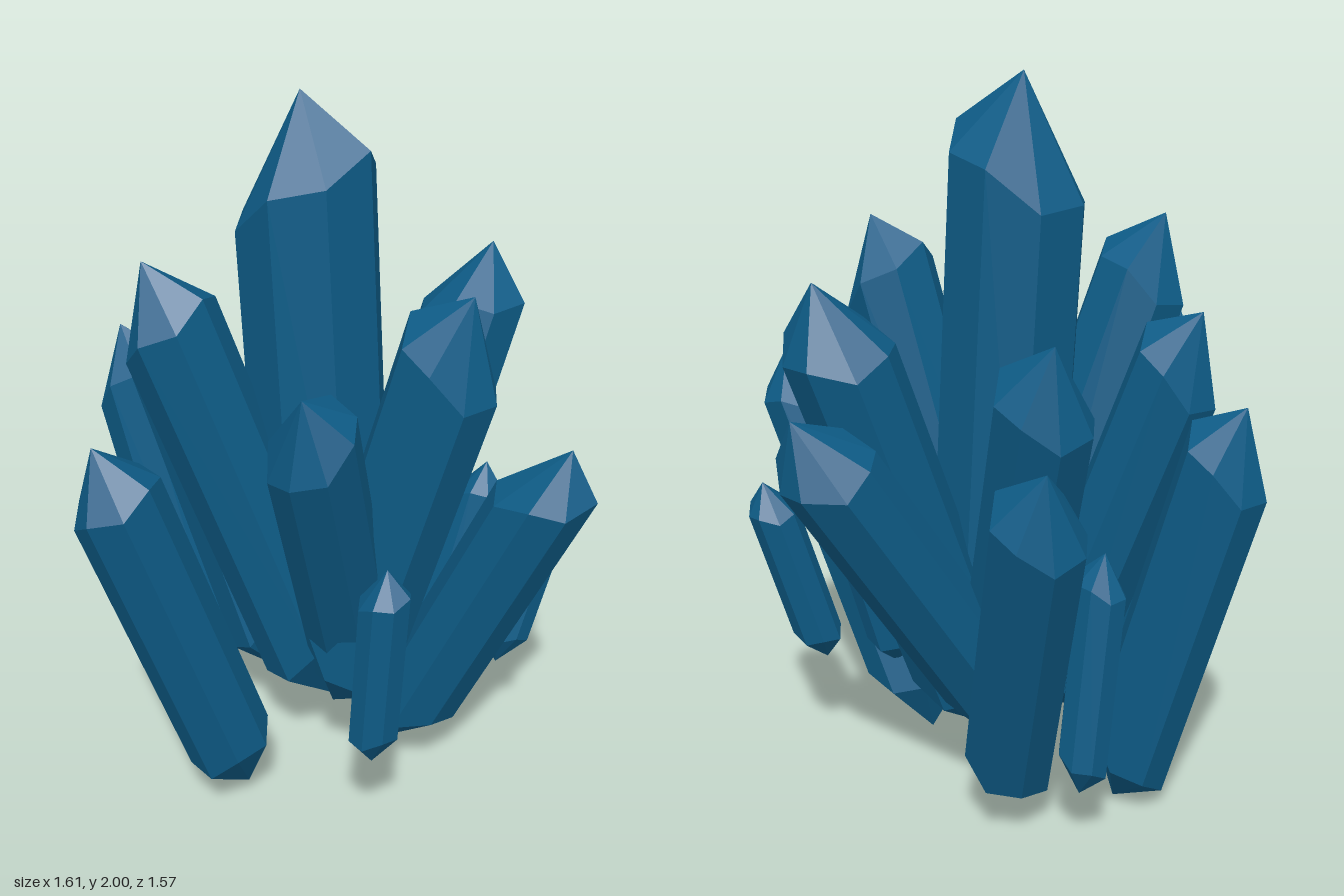
import * as THREE from 'three';

const crystalBlue = new THREE.MeshStandardMaterial({ color: 0x0e5c87, flatShading: true });
crystalBlue.name = 'crystal blue';

// Eight-sided prism pointed at both ends; its shoulders slope down towards -x
function makeCrystal(name, top, bottom, radius, slope, slopeZ = 0) {
  const tip = new THREE.Vector3(...top);
  const base = new THREE.Vector3(...bottom);
  const axis = tip.clone().sub(base);
  const half = axis.length() / 2;
  const shoulder = half - radius * 1.22;
  const profile = [
    new THREE.Vector2(0, -half),
    new THREE.Vector2(radius, -shoulder),
    new THREE.Vector2(radius, shoulder),
    new THREE.Vector2(0, half),
  ];
  const geometry = new THREE.LatheGeometry(profile, 8);

  // Pull every second shoulder corner in, so each point reads as four facets,
  // then shear along the axis so that the shoulders slope
  const p = geometry.attributes.position;
  for (let i = 0; i < p.count; i++) {
    const x = p.getX(i), y = p.getY(i), z = p.getZ(i);
    const corner = Math.abs(x * z) > 0.1 * radius * radius ? 0.22 * radius : 0;
    p.setY(i, y - Math.sign(y) * corner + slope * x - slopeZ * z);
  }
  geometry.computeVertexNormals();

  const mesh = new THREE.Mesh(geometry, crystalBlue);
  mesh.name = name;
  mesh.quaternion.setFromUnitVectors(new THREE.Vector3(0, 1, 0), axis.normalize());
  mesh.position.copy(tip).add(base).multiplyScalar(0.5);
  return mesh;
}

export function createModel() {
  const group = new THREE.Group();
  group.name = 'crystalCluster';

  group.add(makeCrystal('mainCrystal', [-0.06, 2, 0.025], [0.03, 0.3, 0.02], 0.195, 0.48));

  // Inner ring: tip, base, radius, slope
  const inner = {
    innerFrontRight: [[-0.34, 1.6, 0.36], [0.04, 0.2, 0.05], 0.142, 0.35],
    innerRight: [[-0.58, 1.41, 0.02], [-0.13, 0.19, 0], 0.13, 0.5],
    innerLeft: [[0.48, 1.57, 0.12], [0.1, 0.25, 0.14], 0.147, -0.45],
    innerBackLeft: [[0.28, 1.5, -0.49], [0.03, 0.11, -0.04], 0.147, 0.3],
    innerBackRight: [[-0.36, 1.39, -0.41], [-0.04, 0.17, -0.09], 0.137, 0.35],
  };
  for (const [name, parts] of Object.entries(inner)) group.add(makeCrystal(name, ...parts));

  // Outer ring: tip, base, slopes
  const outer = {
    outerFront: [[-0.27, 1.24, 0.71], [-0.06, 0.05, 0.36], 0.25],
    outerFrontLeft: [[0.22, 1.4, 0.53], [0.13, 0.27, 0.03], 0.36, 0.36],
    outerRight: [[-0.74, 1.2, -0.075], [-0.4, 0, -0.07], 0.5],
    outerLeft: [[0.73, 1.17, 0.03], [0.21, 0.05, -0.03], 0.48],
    outerBackLeft: [[0.18, 1.22, -0.75], [-0.12, 0.2, -0.13], 0.3],
    outerBackRight: [[-0.45, 1.15, -0.64], [-0.16, 0.05, -0.29], 0.35],
  };
  for (const [name, [tip, base, slope, slopeZ]] of Object.entries(outer)) {
    group.add(makeCrystal(name, tip, base, 0.126, slope, slopeZ));
  }

  // Small shards between the outer crystals: tip, base
  const shards = {
    shardFrontRight: [[-0.47, 0.83, 0.35], [-0.44, 0.22, 0.2]],
    shardFrontLeft: [[0.415, 0.95, 0.45], [0.37, 0.33, 0.43]],
    shardBackRight: [[-0.46, 0.84, -0.31], [-0.43, 0.18, -0.38]],
    shardBackInner: [[0.39, 0.93, -0.25], [0.28, 0.28, -0.1]],
    shardBackOuter: [[0.58, 0.87, -0.33], [0.47, 0.3, -0.2]],
  };
  for (const [name, [tip, base]] of Object.entries(shards)) {
    group.add(makeCrystal(name, tip, base, 0.069, 0.32));
  }
  return group;
}
